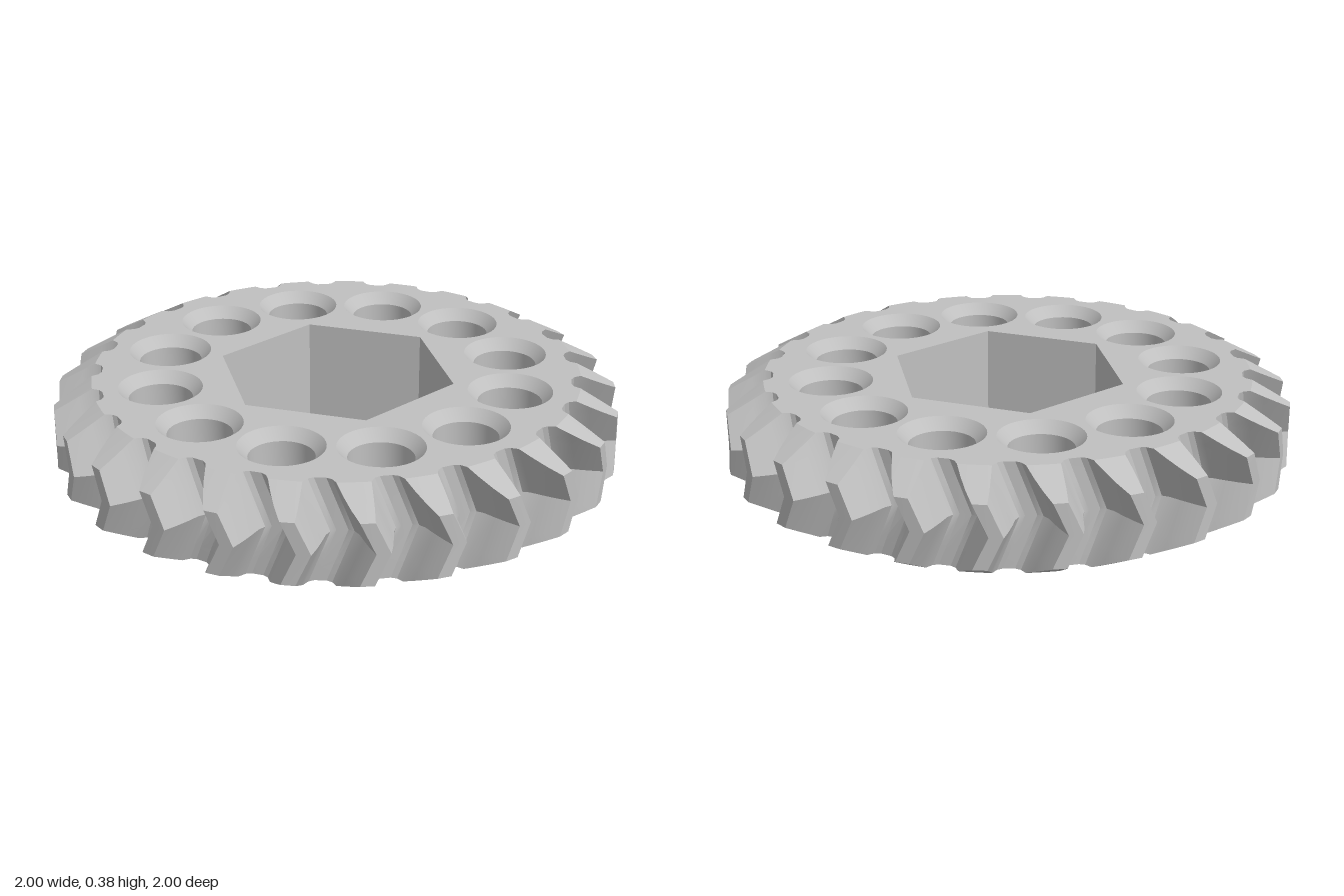
import * as THREE from 'three';
import { toCreasedNormals } from 'three/addons/utils/BufferGeometryUtils.js';

const TEETH = 25, PITCH = (Math.PI * 2) / TEETH;
const HEIGHT = 0.375, MID = HEIGHT / 2;
const TWIST = 0.085;   // turn of the tooth between mid-height and each face
const PHASE = 0.06;
const CHAMFER_R = 0.865;

// Tooth flank from root to tip: [radius, half angle]
const FLANK = [[0.832, 0.102], [0.842, 0.08], [0.865, 0.064], [0.91, 0.052], [0.955, 0.039], [1, 0.024]];
// Heights of the lofted sections; the chamfer rows match the flank radii
const LEVELS = [0, 0.025, 0.05, 0.075, MID, 0.3, 0.325, 0.35, HEIGHT];

// Cone that trims the tooth tips towards both faces
function maxRadius(y) {
  const edge = Math.min(y, HEIGHT - y);
  return Math.min(1, CHAMFER_R + (1 - CHAMFER_R) * edge / 0.075);
}

// Closed gear outline at height y, as [angle, radius]
function outline(y) {
  const turn = PHASE - TWIST * Math.abs(y - MID) / MID;
  const limit = maxRadius(y), pts = [];
  for (let k = 0; k < TEETH; k++) {
    const centre = turn + k * PITCH;
    for (const [r, a] of FLANK) pts.push([centre - a, Math.min(r, limit)]);
    for (const [r, a] of [...FLANK].reverse()) pts.push([centre + a, Math.min(r, limit)]);
  }
  return pts;
}

// Herringbone tooth surface lofted through the levels
function toothGeometry() {
  const rows = LEVELS.map(outline), n = rows[0].length, pos = [];
  const put = (l, i) => {
    const [a, r] = rows[l][i];
    pos.push(-Math.sin(a) * r, LEVELS[l], -Math.cos(a) * r);
  };
  for (let l = 0; l < LEVELS.length - 1; l++) {
    for (let i = 0; i < n; i++) {
      const j = (i + 1) % n;
      const a = [l, i], b = [l, j], c = [l + 1, j], d = [l + 1, i];
      const rad = (p) => rows[p[0]][p[1]][1];
      // Split each quad along the edge where the cone cuts the flank
      const useAC = Math.abs(rad(a) - rad(c)) >= Math.abs(rad(b) - rad(d));
      const tris = useAC ? [a, b, c, a, c, d] : [a, b, d, b, c, d];
      tris.forEach((p) => put(...p));
    }
  }
  const geo = new THREE.BufferGeometry();
  geo.setAttribute('position', new THREE.Float32BufferAttribute(pos, 3));
  return toCreasedNormals(geo, 0.45);
}

function polygon(cx, cy, r, sides) {
  return Array.from({ length: sides }, (_, i) => {
    const a = (i / sides) * Math.PI * 2;
    return new THREE.Vector2(cx + r * Math.cos(a), cy + r * Math.sin(a));
  });
}

const BORE_R = 0.428, HOLE_RING = 0.63, HOLE_R = 0.112, SINK_R = 0.148, SINK_DEPTH = 0.04;
const HOLES = Array.from({ length: 12 }, (_, i) => {
  const a = (i * Math.PI) / 6;
  return [HOLE_RING * Math.cos(a), HOLE_RING * Math.sin(a)];
});

// Flat face with the hexagonal bore and the ring of holes
function faceGeometry(top) {
  const shape = new THREE.Shape(outline(HEIGHT).map(([a, r]) =>
    new THREE.Vector2(-Math.sin(a) * r, Math.cos(a) * r)));
  shape.holes.push(new THREE.Path(polygon(0, 0, BORE_R, 6)));
  for (const [x, y] of HOLES) shape.holes.push(new THREE.Path(polygon(x, y, SINK_R, 40)));
  const geo = new THREE.ShapeGeometry(shape);
  if (!top) geo.index.array.reverse();
  geo.rotateX(-Math.PI / 2);
  geo.translate(0, top ? HEIGHT : 0, 0);
  return toCreasedNormals(geo, 0.1);
}

// Inward-facing wall, profile given from top to bottom
function wallGeometry(profile, sides) {
  const pts = profile.map(([r, y]) => new THREE.Vector2(r, y));
  return toCreasedNormals(new THREE.LatheGeometry(pts, sides, Math.PI / 2), 0.5);
}

export function createModel() {
  const group = new THREE.Group();
  group.name = 'herringboneGear';
  const metal = new THREE.MeshStandardMaterial({ color: 0xc0c0c0 });
  metal.name = 'lightGrey';

  const add = (name, geo) => {
    const mesh = new THREE.Mesh(geo, metal);
    mesh.name = name;
    group.add(mesh);
    return mesh;
  };

  add('teeth', toothGeometry());
  add('topFace', faceGeometry(true));
  add('bottomFace', faceGeometry(false));
  add('hexBore', wallGeometry([[BORE_R, HEIGHT], [BORE_R, 0]], 6));

  // Round holes, countersunk at both ends
  const holeGeo = wallGeometry([
    [SINK_R, HEIGHT], [HOLE_R, HEIGHT - SINK_DEPTH], [HOLE_R, SINK_DEPTH], [SINK_R, 0],
  ], 40);
  HOLES.forEach(([x, z], i) => add('hole' + (i + 1), holeGeo).position.set(x, 0, z));

  return group;
}
